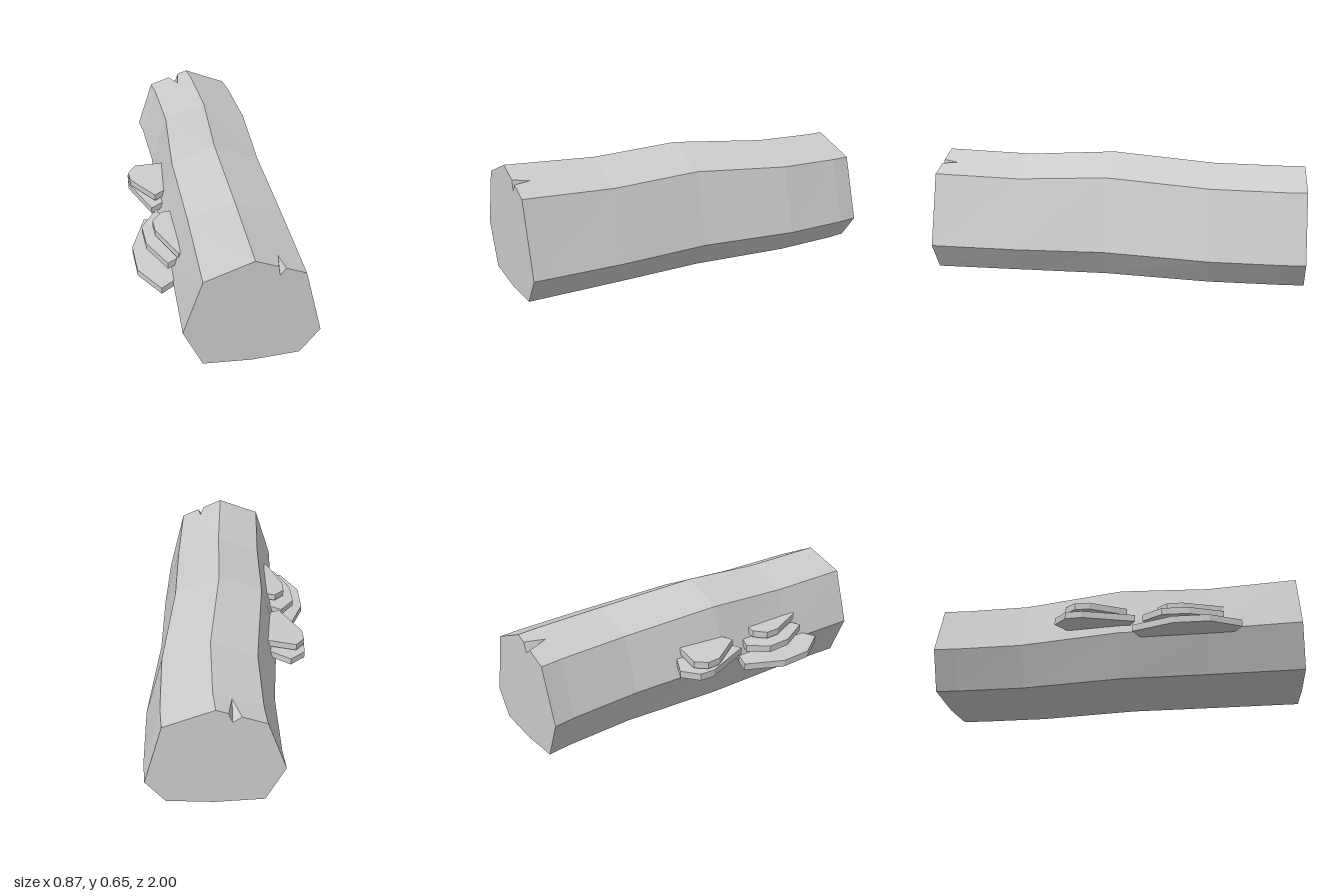
import * as THREE from 'three';

const material = new THREE.MeshStandardMaterial({ color: 0xcccccc, flatShading: true });

// Eight-sided log profile, starting at the top ridge and running to the -x side
const PROFILE = [
  [0.07, 0.652], [-0.165, 0.565], [-0.26, 0.262], [-0.165, 0.035],
  [0.08, 0.012], [0.32, 0.022], [0.415, 0.162], [0.315, 0.542],
];

// Stations along the log: z, sideways shift, height scale, lift, z tilt across x
const STATIONS = [
  [0.995, 0, 1, 0, -0.02],
  [0.52, 0.003, 0.965, 0.004, 0],
  [0.04, -0.01, 1, 0.002, 0],
  [-0.51, 0.024, 0.94, -0.004, 0],
  [-0.88, 0.004, 0.93, -0.008, 0],
  [-0.995, -0.012, 0.93, -0.01, -0.012],
];

const v = (x, y, z) => new THREE.Vector3(x, y, z);

// Triangulates a polygon seen along one axis and turns its faces outward
function addPolygon(out, points, axis, outward) {
  const flat = points.map((p) => (axis === 'z' ? new THREE.Vector2(p.x, p.y) : new THREE.Vector2(p.x, p.z)));
  for (const [a, b, c] of THREE.ShapeUtils.triangulateShape(flat, [])) {
    addTriangle(out, points[a], points[b], points[c], outward);
  }
}

function addTriangle(out, a, b, c, outward) {
  const normal = b.clone().sub(a).cross(c.clone().sub(a));
  const order = normal.dot(outward) < 0 ? [a, c, b] : [a, b, c];
  order.forEach((p) => out.push(p.x, p.y, p.z));
}

// Splits in the rim at each end: which side they cut, where along it, and how deep
const NOTCHES = {
  front: { side: 7, from: 0.41, to: 0.55, drop: v(-0.008, -0.046, 0), depth: 0.085 },
  back: { side: 0, from: 0.24, to: 0.5, drop: v(0.012, -0.042, 0), depth: 0.11 },
};

function createLog() {
  const out = [];
  const n = PROFILE.length;
  const rings = STATIONS.map(([z, dx, s, dy, tilt]) =>
    PROFILE.map(([x, y]) => v(x + dx, y * s + dy, z + tilt * (x - 0.075))));
  const last = rings.length - 1;

  // Bark sides, leaving out the two panels that carry a notch
  for (let r = 0; r < last; r++) {
    const centre = v(0.075, 0.31, 0);
    for (let i = 0; i < n; i++) {
      if (r === 0 && i === NOTCHES.front.side) continue;
      if (r === last - 1 && i === NOTCHES.back.side) continue;
      const j = (i + 1) % n;
      const [a, b, c, d] = [rings[r][i], rings[r][j], rings[r + 1][j], rings[r + 1][i]];
      const outward = a.clone().add(b).multiplyScalar(0.5).sub(centre).setZ(0);
      addTriangle(out, a, b, c, outward);
      addTriangle(out, a, c, d, outward);
    }
  }

  // Cut ends with their notched panel
  const ends = [
    [rings[0], rings[1], NOTCHES.front, 1],
    [rings[last], rings[last - 1], NOTCHES.back, -1],
  ];
  for (const [rim, inner, notch, sign] of ends) {
    const i = notch.side;
    const j = (i + 1) % n;
    const n1 = rim[i].clone().lerp(rim[j], notch.from);
    const n2 = rim[i].clone().lerp(rim[j], notch.to);
    const mid = n1.clone().lerp(n2, 0.5);
    const bottom = mid.clone().add(notch.drop);

    // The split runs out along the bark to a point
    const innerMid = inner[i].clone().lerp(inner[j], (notch.from + notch.to) / 2);
    const apex = mid.clone().lerp(innerMid, notch.depth / Math.abs(rim[i].z - inner[i].z));

    const up = v(0, 1, 0);
    addPolygon(out, [rim[i], n1, apex, n2, rim[j], inner[j], inner[i]], 'y', up);
    addTriangle(out, n1, bottom, apex, n2.clone().sub(n1));
    addTriangle(out, n2, bottom, apex, n1.clone().sub(n2));

    const cap = [...rim];
    cap.splice(i + 1, 0, n1, bottom, n2);
    addPolygon(out, cap, 'z', v(0, 0, sign));
  }

  const geometry = new THREE.BufferGeometry();
  geometry.setAttribute('position', new THREE.Float32BufferAttribute(out, 3));
  geometry.computeVertexNormals();
  const log = new THREE.Mesh(geometry, material);
  log.name = 'log';
  return log;
}

// Bracket fungi: height of the top face carried to x = 0, and the outline as x, z
const SHELVES = [
  { name: 'rearUpperShelf', top: 0.423,
    outline: [[-0.15, -0.21], [-0.2, -0.215], [-0.36, -0.235], [-0.405, -0.175], [-0.4, -0.1], [-0.28, 0.085], [-0.21, 0.045], [-0.15, 0]] },
  { name: 'rearLowerShelf', top: 0.372,
    outline: [[-0.15, -0.21], [-0.25, -0.26], [-0.33, -0.3], [-0.408, -0.225], [-0.41, -0.14], [-0.305, 0.13], [-0.235, 0.09], [-0.15, 0.04]] },
  { name: 'frontUpperShelf', top: 0.423,
    outline: [[-0.15, 0.25], [-0.21, 0.25], [-0.265, 0.245], [-0.318, 0.305], [-0.314, 0.385], [-0.22, 0.6], [-0.15, 0.56]] },
  { name: 'frontMiddleShelf', top: 0.372,
    outline: [[-0.15, 0.19], [-0.23, 0.2], [-0.3, 0.17], [-0.375, 0.28], [-0.365, 0.42], [-0.275, 0.6], [-0.21, 0.57], [-0.15, 0.53]] },
  { name: 'frontLowerShelf', top: 0.296,
    outline: [[-0.15, 0.19], [-0.25, 0.155], [-0.35, 0.12], [-0.435, 0.34], [-0.425, 0.525], [-0.32, 0.69], [-0.245, 0.645], [-0.15, 0.58]] },
];

function createShelf({ name, top, outline }) {
  const thickness = 0.037;
  const shape = new THREE.Shape(outline.map(([x, z]) => new THREE.Vector2(x, -z)));
  const geometry = new THREE.ExtrudeGeometry(shape, { depth: thickness, bevelEnabled: false });
  geometry.rotateX(-Math.PI / 2);

  // Droop gently toward the outer rim
  const droop = 0.09;
  const p = geometry.attributes.position;
  for (let i = 0; i < p.count; i++) p.setY(i, p.getY(i) + top - thickness + droop * p.getX(i));
  geometry.computeVertexNormals();

  const shelf = new THREE.Mesh(geometry, material);
  shelf.name = name;
  return shelf;
}

export function createModel() {
  const model = new THREE.Group();
  model.name = 'fallenLog';
  model.add(createLog());

  const fungi = new THREE.Group();
  fungi.name = 'bracketFungi';
  SHELVES.forEach((s) => fungi.add(createShelf(s)));
  model.add(fungi);
  return model;
}
